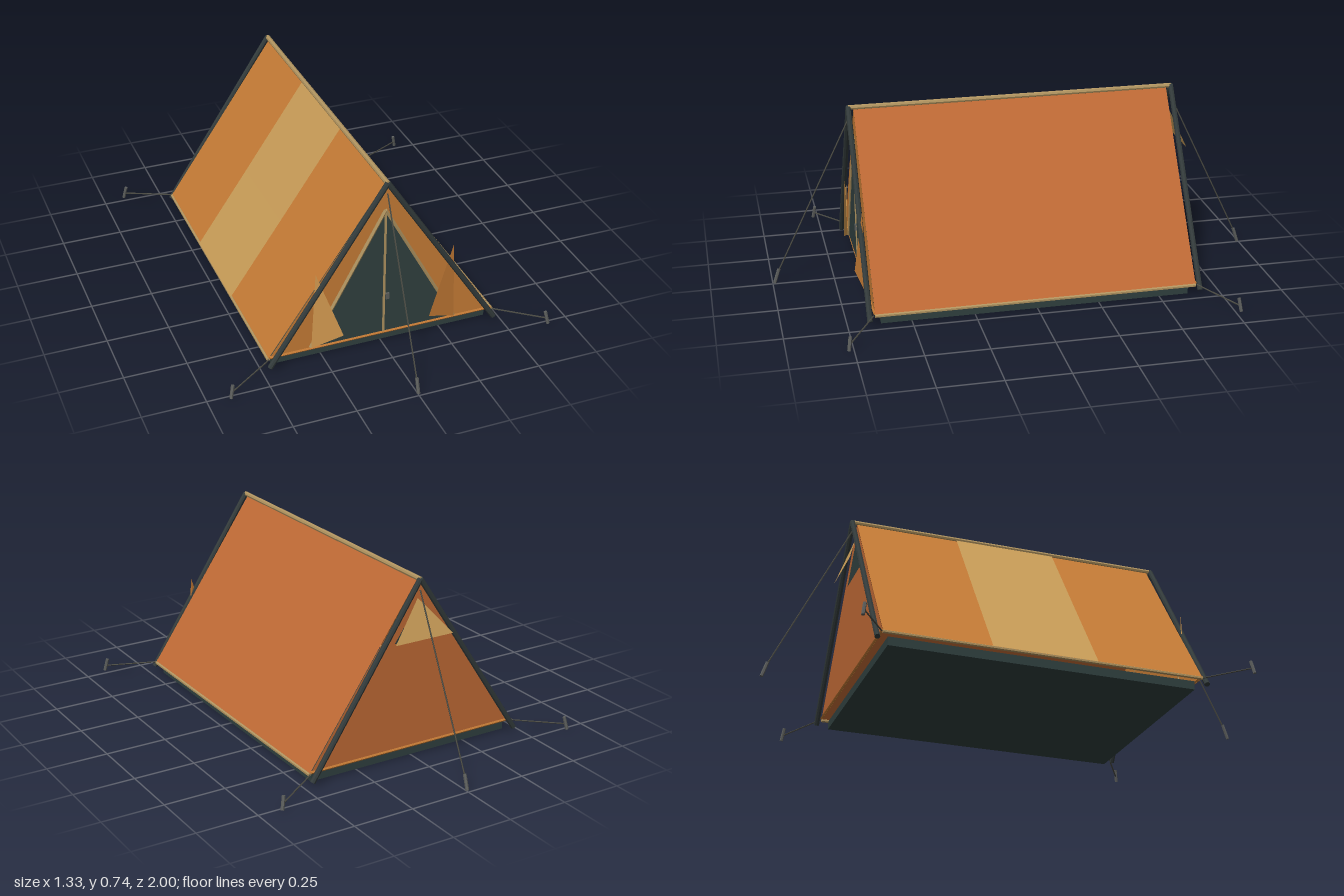
import * as THREE from 'three';

const mat = (color) => new THREE.MeshStandardMaterial({ color, side: THREE.DoubleSide, flatShading: true });
const M = {
  orange: mat(0xc06a35), amber: mat(0xc67c36), sand: mat(0xc99d58), flap: mat(0xd39a50),
  trim: mat(0xb0935f), dark: mat(0x30403f), pole: mat(0x333b3b), rope: mat(0x4a4a42), metal: mat(0x5c5e5c),
};

// Flat or creased sheet: fan of triangles around the first corner
function sheet(name, material, pts) {
  const g = new THREE.BufferGeometry().setFromPoints(pts.map((p) => new THREE.Vector3(...p)));
  const index = [];
  for (let i = 1; i < pts.length - 1; i++) index.push(0, i, i + 1);
  g.setIndex(index);
  const flat = g.toNonIndexed();
  flat.computeVertexNormals();
  const m = new THREE.Mesh(flat, material);
  m.name = name;
  return m;
}

// Round rod between two points
function rod(name, material, a, b, r, sides = 8) {
  const A = new THREE.Vector3(...a), B = new THREE.Vector3(...b);
  const m = new THREE.Mesh(new THREE.CylinderGeometry(r, r, A.distanceTo(B), sides), material);
  m.position.copy(A).add(B).multiplyScalar(0.5);
  m.quaternion.setFromUnitVectors(new THREE.Vector3(0, 1, 0), B.sub(A).normalize());
  m.name = name;
  return m;
}

function box(name, material, size, pos) {
  const m = new THREE.Mesh(new THREE.BoxGeometry(...size), material);
  m.position.set(...pos);
  m.name = name;
  return m;
}

export function createModel() {
  const tent = new THREE.Group();
  tent.name = 'tent';
  const add = (...parts) => tent.add(...parts);
  const L = 0.645, P = 0.665;

  // Groundsheet
  add(box('groundsheet', M.dark, [0.9, 0.035, 1.24], [0, 0.0175, 0]));

  // Roof slopes, creased halfway down
  const profile = [[0, 0.73], [0.256, 0.357], [0.472, 0.045]];
  const slope = (name, material, s, z0, z1, lift) => {
    for (let i = 0; i < 2; i++) {
      const [[x0, y0], [x1, y1]] = [profile[i], profile[i + 1]];
      const a = [s * (x0 + lift), y0 + lift], b = [s * (x1 + lift), y1 + lift];
      add(sheet(name, material, [[...a, z0], [...b, z0], [...b, z1], [...a, z1]]));
    }
  };
  slope('leftRoof', M.orange, 1, -L, L, 0);
  slope('rightRoof', M.amber, -1, -L, L, 0);
  slope('roofPanel', M.sand, -1, -0.22, 0.205, 0.003);

  // End walls
  const wall = (z) => [[0, 0.725, z], [-0.468, 0.045, z], [0.468, 0.045, z]];
  add(sheet('frontWall', M.amber, wall(L)), sheet('backWall', M.orange, wall(-L)));

  // Door with trim, zip and pull
  const dz = L + 0.005;
  add(sheet('door', M.dark, [[0, 0.605, dz], [-0.3, 0.06, dz], [0.3, 0.06, dz]]));
  add(box('zip', M.trim, [0.008, 0.54, 0.006], [0, 0.33, dz + 0.002]));
  add(box('zipPull', M.metal, [0.014, 0.026, 0.008], [0.013, 0.225, dz + 0.006]));

  for (const s of [1, -1]) {
    add(rod('doorTrim', M.trim, [0, 0.61, dz], [s * 0.3, 0.06, dz], 0.007, 6));

    // Folded-back door flap
    add(sheet('doorFlap', s < 0 ? M.flap : M.amber, [
      [s * 0.283, 0.395, 0.66], [s * 0.284, 0.28, 0.655], [s * 0.3, 0.06, 0.657], [s * 0.178, 0.107, 0.685],
    ]));

    // Hems along the sides and ends
    add(rod('sideHem', M.trim, [s * 0.47, 0.043, -L], [s * 0.47, 0.043, L], 0.007, 6));
    add(rod('endHem', M.amber, [-0.465, 0.051, s * L], [0.465, 0.051, s * L], 0.006, 6));

    // End poles
    for (const e of [1, -1]) {
      add(rod('pole', M.pole, [0, 0.735, e * P], [s * 0.47, 0.02, e * P], 0.011));

      // Corner guy line and peg
      add(rod('cornerLine', M.rope, [s * 0.47, 0.045, e * 0.65], [s * 0.655, 0.028, e * 0.765], 0.003, 5));
      add(rod('cornerPeg', M.metal, [s * 0.661, 0.005, e * 0.77], [s * 0.65, 0.058, e * 0.762], 0.007, 6));
    }

    // End guy line and peg
    add(rod('endLine', M.rope, [0, 0.69, s * P], [0, 0.045, s * 0.98], 0.003, 5));
    add(rod('endPeg', M.metal, [0, 0.004, s * 0.993], [0, 0.064, s * 0.973], 0.007, 6));
  }

  // Ridge
  add(rod('ridgePole', M.trim, [0, 0.733, -P], [0, 0.733, P], 0.01));

  // Back vent under its hood
  const vz = -L - 0.004;
  add(sheet('vent', M.dark, [[0, 0.63, vz], [-0.1, 0.49, vz], [0.1, 0.49, vz]]));
  add(sheet('ventHood', M.sand, [[0, 0.655, -0.65], [0.13, 0.505, -0.7], [-0.13, 0.505, -0.7]]));

  return tent;
}
